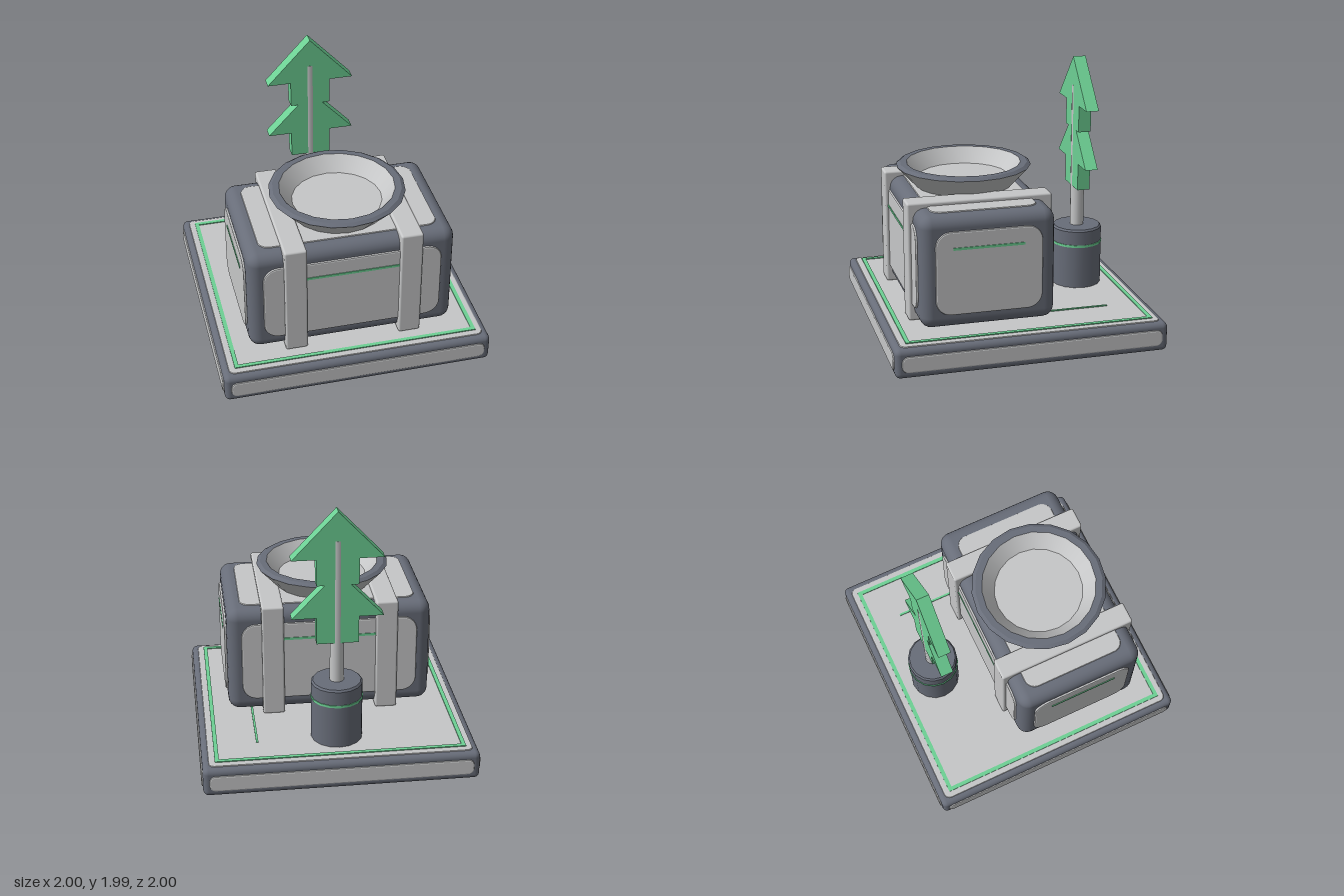
import * as THREE from 'three';
import { RoundedBoxGeometry } from 'three/addons/geometries/RoundedBoxGeometry.js';

const mat = (name, color) => new THREE.MeshStandardMaterial({ name, color });

export function createModel() {
  const model = new THREE.Group();
  const panel = mat('lightGrey', 0xc6c7c8);
  const frame = mat('slateGrey', 0x686d79);
  const green = mat('green', 0x6dd094);

  const add = (name, geometry, material, x = 0, y = 0, z = 0, parent = model) => {
    const mesh = new THREE.Mesh(geometry, material);
    mesh.name = name;
    mesh.position.set(x, y, z);
    parent.add(mesh);
    return mesh;
  };
  const box = (name, m, w, h, d, x, y, z) => add(name, new THREE.BoxGeometry(w, h, d), m, x, y, z);
  const rounded = (name, m, w, h, d, r, x, y, z) =>
    add(name, new RoundedBoxGeometry(w, h, d, 3, r), m, x, y, z);

  // Rounded plate in the xy plane whose outer face lies at z = 0
  function plateGeometry(w, h, r) {
    const s = new THREE.Shape();
    const b = 0.01, x = w / 2 - b, y = h / 2 - b, q = r - b;
    s.absarc(x - q, y - q, q, 0, Math.PI / 2);
    s.absarc(-x + q, y - q, q, Math.PI / 2, Math.PI);
    s.absarc(-x + q, -y + q, q, Math.PI, Math.PI * 1.5);
    s.absarc(x - q, -y + q, q, Math.PI * 1.5, Math.PI * 2);
    s.closePath();
    const g = new THREE.ExtrudeGeometry(s, {
      depth: 0.02, bevelEnabled: true, bevelThickness: b, bevelSize: b, bevelSegments: 2, curveSegments: 5,
    });
    return g.translate(0, 0, -0.03);
  }

  // Inset plates on all six sides of a block; size is the reach of the plates
  function facePlates(name, center, size, margin, radius) {
    const group = new THREE.Group();
    group.name = name;
    group.position.set(...center);
    model.add(group);
    const [w, h, d] = size, [mx, my, mz] = margin, [rs, rt] = radius;
    for (const s of [1, -1]) {
      add('endPlate', plateGeometry(w - mx, h - my, rs), panel, 0, 0, s * d / 2, group).rotation.y = s > 0 ? 0 : Math.PI;
      add('sidePlate', plateGeometry(d - mz, h - my, rs), panel, s * w / 2, 0, 0, group).rotation.y = s * Math.PI / 2;
      add('levelPlate', plateGeometry(w - mx, d - mz, rt), panel, 0, s * h / 2, 0, group).rotation.x = -s * Math.PI / 2;
    }
  }

  // Base slab with inset plates
  rounded('baseSlab', frame, 1.98, 0.215, 1.98, 0.04, 0, 0.118, 0);
  facePlates('basePlates', [0, 0.1175, 0], [2, 0.235, 2], [0.11, 0.115, 0.11], [0.045, 0.045]);

  // Green border line and path mark on the base
  for (const s of [1, -1]) {
    box('borderLine', green, 1.8, 0.009, 0.03, 0, 0.2375, s * 0.885);
    box('borderLine', green, 0.03, 0.009, 1.74, s * 0.885, 0.2375, 0);
  }
  box('pathMark', green, 0.016, 0.009, 0.62, 0.582, 0.2375, -0.355);

  // Crate with inset plates
  const cz = 0.268;
  rounded('crateBody', frame, 1.51, 0.82, 0.975, 0.085, 0, 0.66, cz);
  facePlates('cratePlates', [0, 0.66, cz], [1.54, 0.84, 1.005], [0.24, 0.23, 0.235], [0.11, 0.08]);

  // Green accent stripes around the crate
  for (const s of [1, -1]) {
    box('longStripe', green, 0.76, 0.018, 0.009, 0, 0.842, cz + s * 0.503);
    box('sideStripe', green, 0.009, 0.018, 0.515, s * 0.771, 0.842, 0.272);
  }

  // Straps
  for (const s of [1, -1])
    rounded('strap', panel, 0.162, 0.87, 1.055, 0.015, s * 0.421, 0.672, cz);

  // Dish: outer wall, rim, then inner wall and floor
  const lathe = (name, m, points) =>
    add(name, new THREE.LatheGeometry(points.map(p => new THREE.Vector2(...p)), 20), m, 0, 0, cz);
  lathe('dishWall', panel, [[0.345, 1.07], [0.495, 1.232]]);
  lathe('dishRimEdge', frame, [[0.495, 1.232], [0.468, 1.25]]);
  lathe('dishRimTop', frame, [[0.468, 1.25], [0.42, 1.25]]);
  lathe('dishInside', panel, [[0.42, 1.25], [0.328, 1.14]]);
  const floor = add('dishFloor', new THREE.CircleGeometry(0.328, 20), panel, 0, 1.14, cz);
  floor.rotation.x = -Math.PI / 2;

  // Tree pot and trunk
  const tz = -0.616;
  const tube = (name, m, rTop, rBottom, y0, y1) =>
    add(name, new THREE.CylinderGeometry(rTop, rBottom, y1 - y0, 16), m, 0, (y0 + y1) / 2, tz);
  tube('pot', frame, 0.186, 0.186, 0.235, 0.678);
  tube('potLip', frame, 0.174, 0.186, 0.678, 0.692);
  tube('potBand', green, 0.191, 0.191, 0.556, 0.574);
  tube('trunk', panel, 0.051, 0.051, 0.69, 1.77);

  // Flat tree crown, mirrored half outline
  const half = [[0.15, 1], [0.15, 1.2], [0.325, 1.2], [0.093, 1.445], [0.15, 1.445], [0.15, 1.64], [0.325, 1.64]];
  const outline = [...half, [0, 1.985], ...half.map(([x, y]) => [-x, y]).reverse()];
  const crown = new THREE.Shape(outline.map(p => new THREE.Vector2(...p)));
  add('treeCrown', new THREE.ExtrudeGeometry(crown, { depth: 0.094, bevelEnabled: false }), green, 0, 0, tz - 0.047);

  return model;
}
